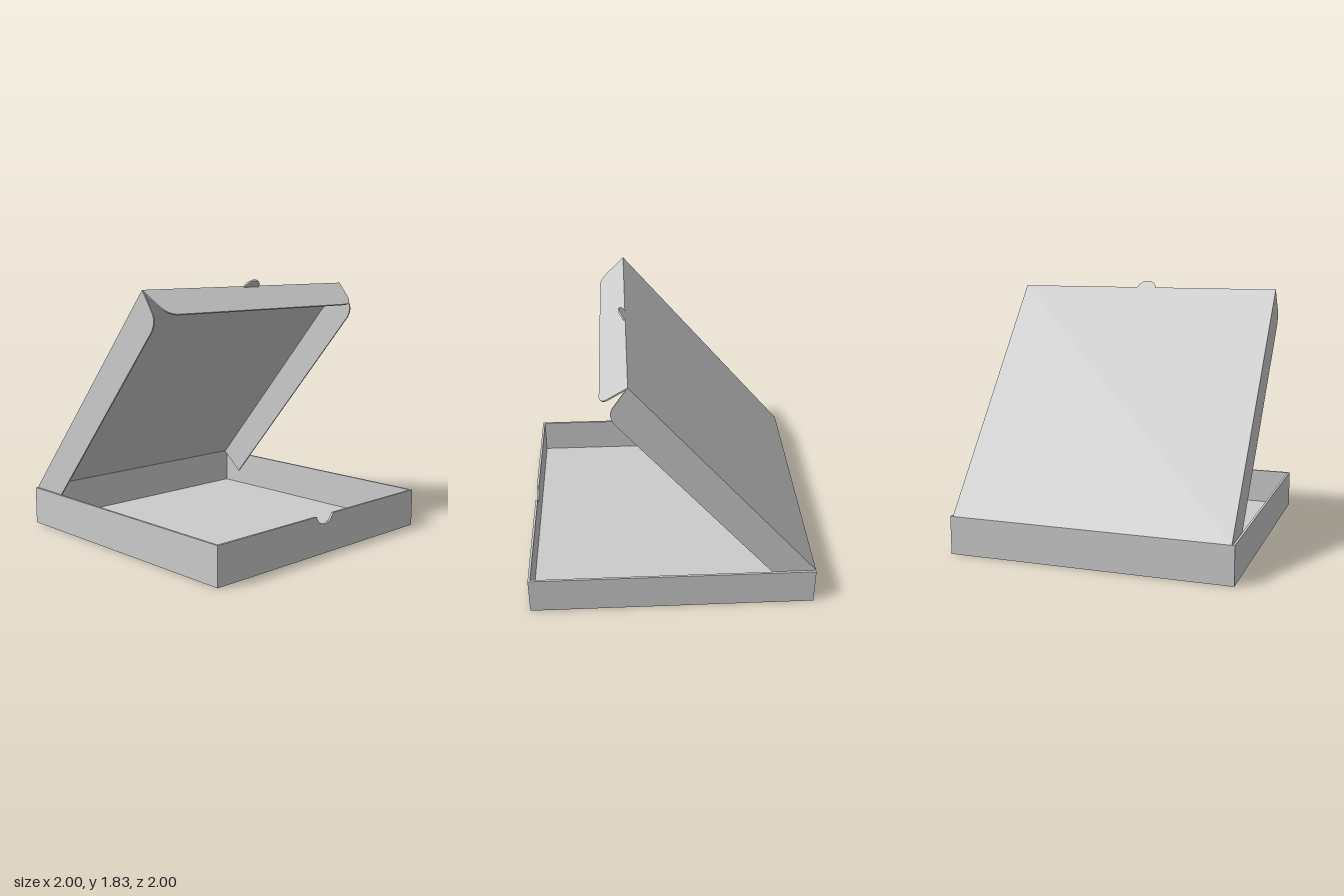
import * as THREE from 'three';

const H = 0.27;          // tray height
const T = 0.016;         // tray wall thickness
const CARD = 0.01;       // lid card thickness
const LID_LEN = 1.987;   // hinge to lid front edge
const LID_HALF = 0.98;   // half width of the lid
const FLAP = 0.237;      // flap depth

const material = new THREE.MeshStandardMaterial({ color: 0xcccccc, side: THREE.DoubleSide });

function add(parent, name, geometry, x = 0, y = 0, z = 0) {
  const mesh = new THREE.Mesh(geometry, material);
  mesh.name = name;
  mesh.position.set(x, y, z);
  parent.add(mesh);
  return mesh;
}

// Flat piece of card cut to an outline, centred on its thickness
function card(points, thickness) {
  const shape = new THREE.Shape(points.map(([x, y]) => new THREE.Vector2(x, y)));
  const g = new THREE.ExtrudeGeometry(shape, { depth: thickness, bevelEnabled: false });
  return g.translate(0, 0, -thickness / 2);
}

// Tapered, softened flap corner: [inset from the end, drop below the fold]
const corner = [[0, 0], [0.05, 0.172], [0.062, 0.195], [0.08, 0.214], [0.105, 0.228], [0.14, FLAP]];

export function createModel() {
  const model = new THREE.Group();
  model.name = 'openCardboardBox';

  // Tray
  const tray = new THREE.Group();
  tray.name = 'tray';
  model.add(tray);
  add(tray, 'floor', new THREE.BoxGeometry(2, CARD, 2), 0, CARD / 2, 0);
  add(tray, 'hingeWall', new THREE.BoxGeometry(T, H, 2), -1 + T / 2, H / 2, 0);
  for (const s of [-1, 1]) {
    add(tray, s > 0 ? 'frontWall' : 'backWall', new THREE.BoxGeometry(2, H, T), 0, H / 2, s * (1 - T / 2));
  }

  // Wall with the thumb notch that receives the lid tab
  const notched = card([
    [-1, 0], [1, 0], [1, H], [0.085, H], [0.073, 0.25], [0.052, 0.223],
    [0, 0.205], [-0.052, 0.223], [-0.073, 0.25], [-0.085, H], [-1, H],
  ], T).rotateY(Math.PI / 2);
  add(tray, 'notchedWall', notched, 1 - T / 2, 0, 0);

  // Lid, built flat with its hinge at the origin, then swung open
  const lid = new THREE.Group();
  lid.name = 'lid';
  lid.position.set(-1, H, 0);
  lid.rotation.z = Math.atan2(1.52, 1.28);
  model.add(lid);
  add(lid, 'lidPanel', new THREE.BoxGeometry(LID_LEN, CARD, 2 * LID_HALF), LID_LEN / 2, -CARD / 2, 0);

  // Side flaps: square at the hinge, tapered at the free end
  const side = [[0, 0], [0, -FLAP], ...corner.map(([i, d]) => [LID_LEN - i, -d]).reverse()];
  for (const s of [-1, 1]) {
    add(lid, s > 0 ? 'frontSideFlap' : 'backSideFlap', card(side, CARD), 0, 0, s * (LID_HALF - CARD / 2));
  }

  // Closing flap: tapered at both ends
  const half = corner.map(([i, d]) => [LID_HALF - i, -d]);
  const closing = [...half, ...half.map(([x, y]) => [-x, y]).reverse()];
  add(lid, 'closingFlap', card(closing, CARD).rotateY(Math.PI / 2), LID_LEN - CARD / 2, 0, 0);

  // Rounded locking tab in the plane of the lid
  const tab = [[0.073, -0.012], [0.07, 0.012], [0.058, 0.035], [0.038, 0.052], [0.018, 0.059]];
  const tabOutline = [...tab, ...tab.map(([x, y]) => [-x, y]).reverse()];
  const tabGeometry = card(tabOutline, 0.012).rotateX(Math.PI / 2).rotateY(Math.PI / 2);
  add(lid, 'lockingTab', tabGeometry, LID_LEN, -0.007, 0);

  return model;
}
